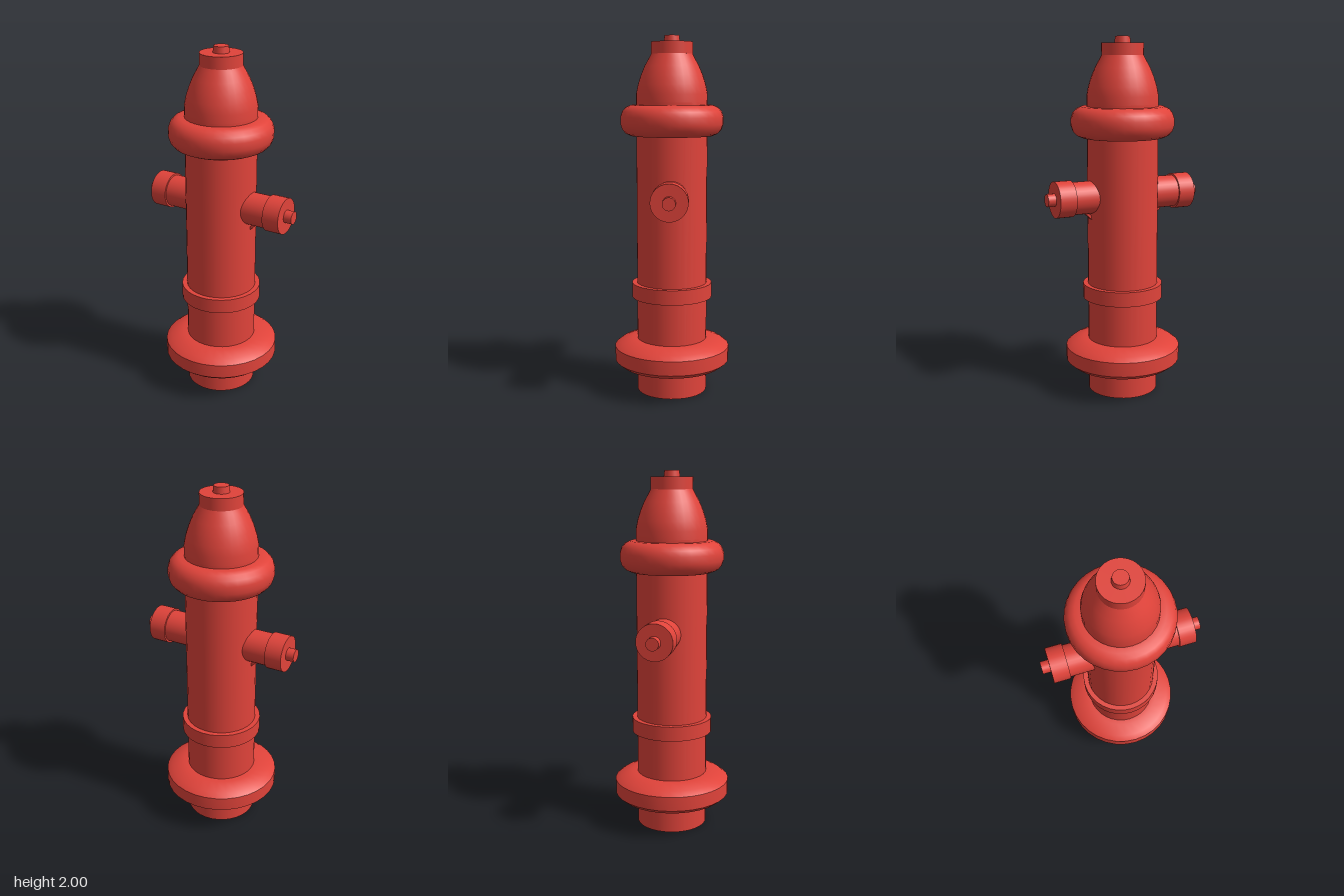
import * as THREE from 'three';
import { toCreasedNormals } from 'three/addons/utils/BufferGeometryUtils.js';

const SEGMENTS = 32;

export function createModel() {
  const model = new THREE.Group();
  model.name = 'fireHydrant';
  const red = new THREE.MeshStandardMaterial({ color: 0xe0433a });

  function add(name, geometry, parent = model) {
    const mesh = new THREE.Mesh(geometry, red);
    mesh.name = name;
    parent.add(mesh);
    return mesh;
  }

  // Turned part from [radius, height] points, listed bottom to top
  function turned(name, points, crease = 0.6) {
    const profile = points.map(([r, y]) => new THREE.Vector2(r, y));
    return add(name, toCreasedNormals(new THREE.LatheGeometry(profile, SEGMENTS), crease));
  }

  // Upright cylinder between two heights
  function drum(name, radius, y0, y1, topRadius = radius) {
    const mesh = add(name, new THREE.CylinderGeometry(topRadius, radius, y1 - y0, SEGMENTS));
    mesh.position.y = (y0 + y1) / 2;
    return mesh;
  }

  // Barrel and its rings
  drum('barrel', 0.197, 0, 1.64);
  turned('baseFlange', [
    [0.18, 0.132], [0.225, 0.132], [0.295, 0.155], [0.325, 0.18],
    [0.325, 0.26], [0.295, 0.283], [0.225, 0.305], [0.18, 0.305],
  ], 0.5);
  drum('collar', 0.225, 0.545, 0.628);
  turned('upperRing', [
    [0.18, 1.455], [0.228, 1.456], [0.255, 1.468], [0.275, 1.49], [0.285, 1.52],
    [0.285, 1.56], [0.275, 1.59], [0.255, 1.612], [0.228, 1.624], [0.18, 1.625],
  ], 0.8);

  // Domed bonnet with its cap and operating nut
  turned('bonnet', [
    [0.197, 1.6], [0.197, 1.685], [0.187, 1.735], [0.171, 1.785],
    [0.15, 1.835], [0.125, 1.88], [0.112, 1.905],
  ], 0.8);
  drum('bonnetCap', 0.115, 1.9, 1.965);
  drum('operatingNut', 0.045, 1.96, 2, 0.04);

  // Side outlets, one on each side
  for (const [side, sign] of [['left', 1], ['right', -1]]) {
    const outlet = new THREE.Group();
    outlet.name = `${side}Outlet`;
    outlet.position.y = 1.133;
    outlet.rotation.y = sign > 0 ? 0 : Math.PI;
    model.add(outlet);

    for (const [name, radius, x0, x1] of [
      ['outletPipe', 0.09, 0.12, 0.32],
      ['outletCap', 0.1, 0.31, 0.405],
      ['outletNut', 0.035, 0.4, 0.45],
    ]) {
      const pipe = add(name, new THREE.CylinderGeometry(radius, radius, x1 - x0, SEGMENTS), outlet);
      pipe.rotation.z = -Math.PI / 2;
      pipe.position.x = (x0 + x1) / 2;
    }

    // Small slanted brace below the pipe
    const brace = add('outletBrace', new THREE.BoxGeometry(0.1, 0.015, 0.035), outlet);
    brace.position.set(0.21, -0.099, 0);
    brace.rotation.z = 0.75;
  }

  return model;
}
